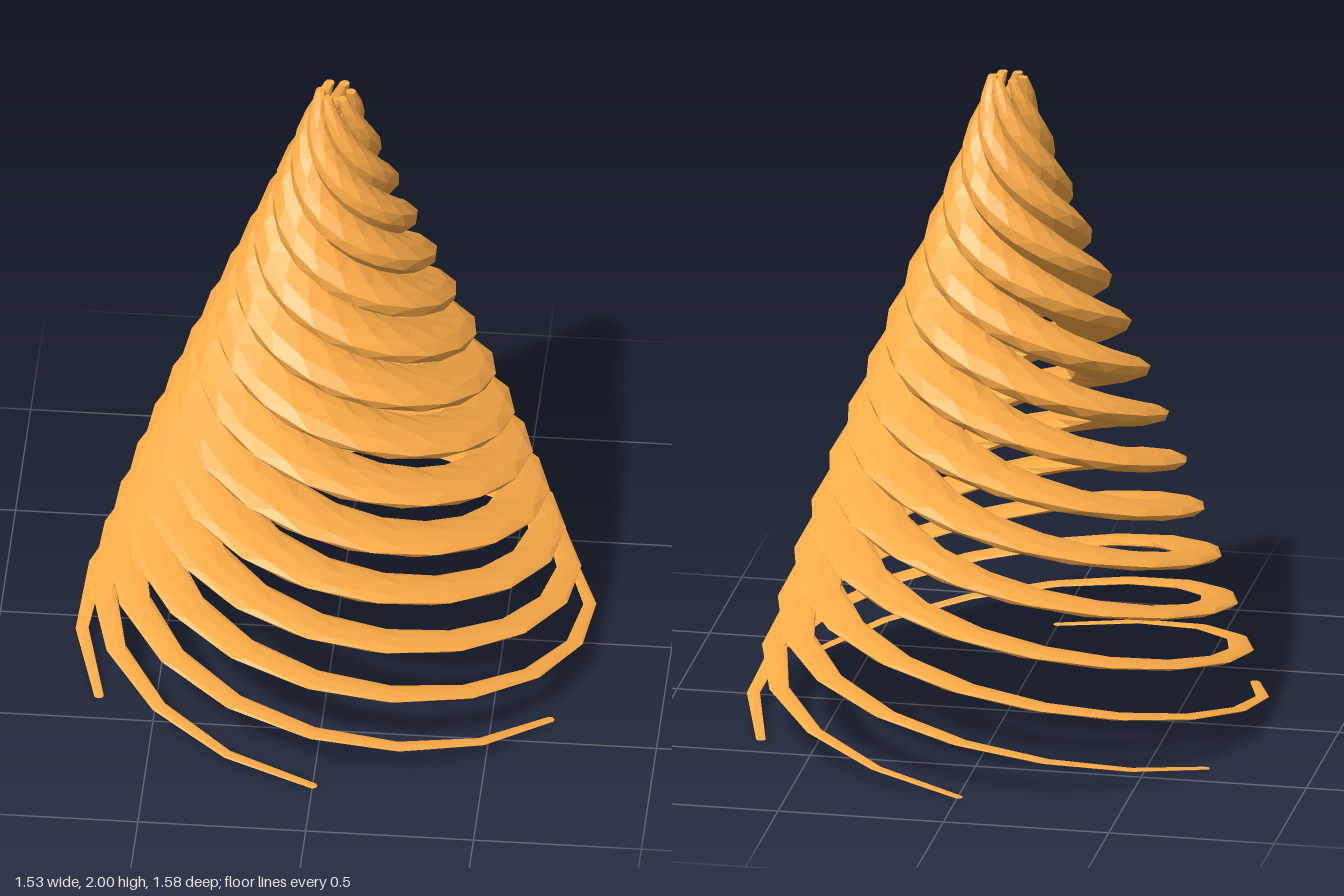
import * as THREE from 'three';

const STRANDS = 6;
const HEIGHT = 2;
const TURNS = 2.25;
const SLICES = 40;
const SIDES = 8;

// Outer outline of the cone, t = 0 at the base, 1 at the tip
const outerRadius = (t) =>
  0.79 - 0.73 * t + 0.045 * Math.sin(Math.PI * t) - 0.02 * Math.sin(Math.PI * t * t);

// Radius of the level round cross-section, swelling past mid height
const strandRadius = (t) => 0.015 + 0.1 * Math.sin(Math.PI * Math.pow(t, 1.15));

// One strand: level discs stacked along a narrowing helix, touching the outline
function strandGeometry() {
  const positions = [];
  const index = [];

  for (let i = 0; i <= SLICES; i++) {
    const t = i / SLICES;
    const turn = t * TURNS * Math.PI * 2;
    const r = strandRadius(t);
    const c = outerRadius(t) - r;
    for (let j = 0; j < SIDES; j++) {
      const a = (j / SIDES) * Math.PI * 2 + turn;
      positions.push(
        -c * Math.sin(turn) + r * Math.cos(a),
        t * HEIGHT,
        c * Math.cos(turn) + r * Math.sin(a)
      );
    }
  }

  // Side walls
  for (let i = 0; i < SLICES; i++) {
    for (let j = 0; j < SIDES; j++) {
      const k = (j + 1) % SIDES;
      const low = i * SIDES;
      const high = low + SIDES;
      index.push(low + j, high + j, low + k, low + k, high + j, high + k);
    }
  }

  // End caps
  const top = SLICES * SIDES;
  for (let j = 1; j < SIDES - 1; j++) {
    index.push(0, j, j + 1, top, top + j + 1, top + j);
  }

  const geometry = new THREE.BufferGeometry();
  geometry.setAttribute('position', new THREE.Float32BufferAttribute(positions, 3));
  geometry.setIndex(index);
  geometry.computeVertexNormals();
  return geometry;
}

export function createModel() {
  const model = new THREE.Group();
  model.name = 'spiralCone';
  const geometry = strandGeometry();
  const material = new THREE.MeshStandardMaterial({ color: 0xffad48, flatShading: true });

  // Identical strands evenly spaced around the axis
  for (let n = 0; n < STRANDS; n++) {
    const strand = new THREE.Mesh(geometry, material);
    strand.name = `spiralStrand${n + 1}`;
    strand.rotation.y = (n / STRANDS) * Math.PI * 2;
    model.add(strand);
  }
  return model;
}
